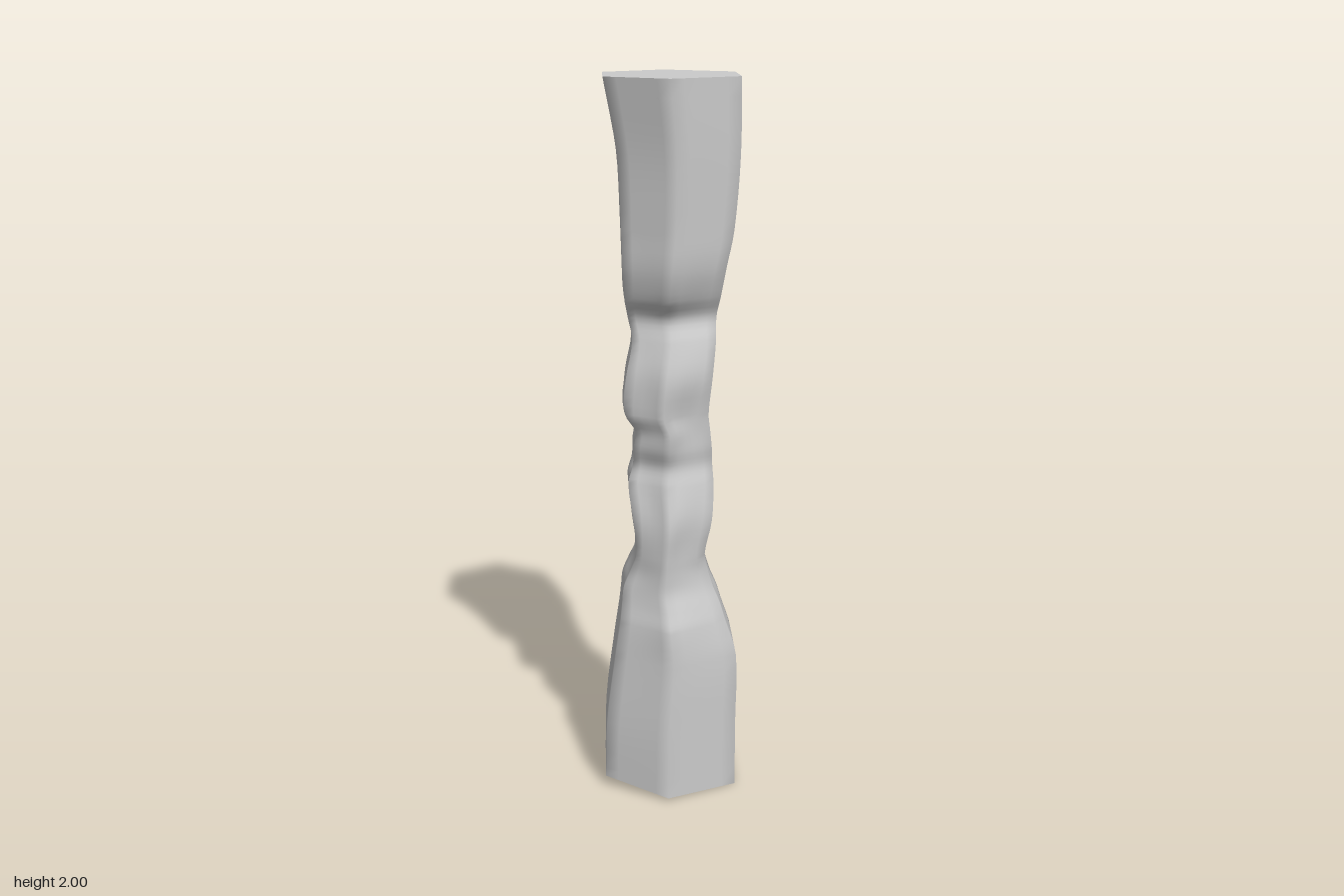
import * as THREE from 'three';

// Cross-sections from bottom to top: y, min x, max x, min z, max z
const SECTIONS = [
  [0.01, -0.19, 0.18, -0.2, 0.22], [0.2, -0.185, 0.18, -0.19, 0.22],
  [0.4, -0.16, 0.18, -0.185, 0.215], [0.5, -0.145, 0.15, -0.185, 0.21],
  [0.55, -0.14, 0.135, -0.16, 0.19], [0.6, -0.135, 0.115, -0.132, 0.172],
  [0.65, -0.115, 0.1, -0.122, 0.17], [0.7, -0.1, 0.09, -0.075, 0.172],
  [0.8, -0.107, 0.11, -0.085, 0.175], [0.9, -0.12, 0.115, -0.09, 0.145],
  [0.95, -0.107, 0.112, -0.095, 0.13], [1.0, -0.105, 0.11, -0.105, 0.145],
  [1.05, -0.1, 0.105, -0.115, 0.155], [1.1, -0.128, 0.1, -0.105, 0.16],
  [1.2, -0.125, 0.11, -0.088, 0.16], [1.3, -0.107, 0.12, -0.085, 0.13],
  [1.36, -0.118, 0.122, -0.115, 0.112], [1.42, -0.128, 0.132, -0.15, 0.155],
  [1.5, -0.132, 0.145, -0.15, 0.18], [1.6, -0.135, 0.165, -0.17, 0.185],
  [1.8, -0.145, 0.18, -0.19, 0.195], [2.0, -0.18, 0.18, -0.222, 0.212],
];

// Unit hexagon with points toward front and back
const HEX = [[0, 1], [1, 0.5], [1, -0.5], [0, -1], [-1, -0.5], [-1, 0.5]];
const PER_SIDE = 5, SIDES = 6 * PER_SIDE;

function ringPoint([y, x0, x1, z0, z1], j) {
  const k = Math.floor(j / PER_SIDE) % 6, t = (j % PER_SIDE) / PER_SIDE;
  const a = HEX[k], b = HEX[(k + 1) % 6];
  const u = a[0] + (b[0] - a[0]) * t, v = a[1] + (b[1] - a[1]) * t;
  // Shallow dents on the faces, strongest around the worn waist
  const waist = Math.exp(-(((y - 1) / 0.38) ** 2));
  const dent = 1 - 0.07 * waist * Math.sin(Math.PI * t) * (0.5 + Math.sin(y * 19 + k * 2.1));
  const cx = (x0 + x1) / 2, cz = (z0 + z1) / 2;
  const apexShift = -0.01 * (1 - Math.abs(u));
  // The foot is cut at a slight tilt
  const foot = y < 0.02 ? 0.01 - 0.055 * u * (u < 0 ? 0.4 : 0.18) : 0;
  return [cx + u * dent * (x1 - x0) / 2 + apexShift, y + (y < 0.02 ? foot - 0.01 : 0),
    cz + v * dent * (z1 - z0) / 2];
}

// Monotone-feeling smooth interpolation between sections
function refine(sections, steps) {
  const out = [];
  for (let i = 0; i < sections.length - 1; i++) {
    const a = sections[Math.max(i - 1, 0)], b = sections[i], c = sections[i + 1];
    const d = sections[Math.min(i + 2, sections.length - 1)];
    const h = c[0] - b[0];
    for (let s = 0; s < steps; s++) {
      const t = s / steps, t2 = t * t, t3 = t2 * t;
      out.push(b.map((p, n) => {
        if (n === 0) return p + h * t;
        const m0 = h * (c[n] - a[n]) / (c[0] - a[0]), m1 = h * (d[n] - b[n]) / (d[0] - b[0]);
        return (2 * t3 - 3 * t2 + 1) * p + (t3 - 2 * t2 + t) * m0
          + (3 * t2 - 2 * t3) * c[n] + (t3 - t2) * m1;
      }));
    }
  }
  out.push(sections[sections.length - 1]);
  return out;
}

function makeGeometry(positions, index) {
  const g = new THREE.BufferGeometry();
  g.setAttribute('position', new THREE.Float32BufferAttribute(positions, 3));
  g.setIndex(index);
  g.computeVertexNormals();
  return g;
}

function cap(section, up) {
  const pos = [], index = [];
  for (let j = 0; j < SIDES; j++) pos.push(...ringPoint(section, j));
  const [, x0, x1, z0, z1] = section;
  pos.push((x0 + x1) / 2, section[0], (z0 + z1) / 2);
  for (let j = 0; j < SIDES; j++) {
    const n = (j + 1) % SIDES;
    index.push(SIDES, ...(up ? [j, n] : [n, j]));
  }
  return makeGeometry(pos, index);
}

export function createModel() {
  const group = new THREE.Group();
  group.name = 'hexagonalColumn';
  const material = new THREE.MeshStandardMaterial({ color: 0xcccccc });
  const add = (name, geometry) => {
    const mesh = new THREE.Mesh(geometry, material);
    mesh.name = name;
    group.add(mesh);
  };

  // Lofted shaft: broad foot, eroded waist, flared head
  const rings = refine(SECTIONS, 4), pos = [], index = [];
  rings.forEach((r) => {
    for (let j = 0; j < SIDES; j++) pos.push(...ringPoint(r, j));
  });
  for (let i = 0; i < rings.length - 1; i++) {
    for (let j = 0; j < SIDES; j++) {
      const a = i * SIDES + j, b = i * SIDES + (j + 1) % SIDES;
      index.push(a, b, b + SIDES, a, b + SIDES, a + SIDES);
    }
  }
  add('shaft', makeGeometry(pos, index));

  // Flat ends
  add('topFace', cap(SECTIONS[SECTIONS.length - 1], true));
  add('bottomFace', cap(SECTIONS[0], false));
  return group;
}
